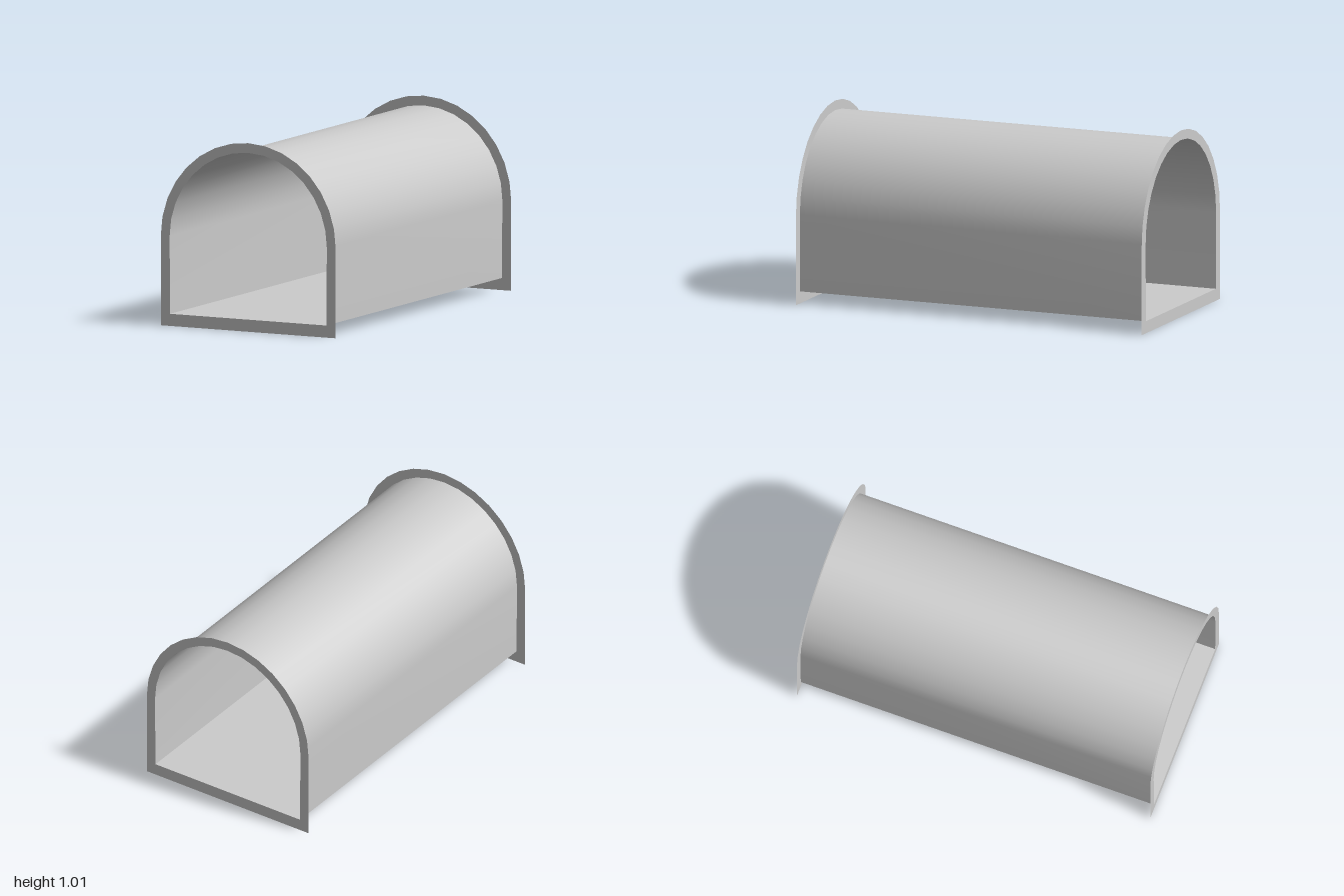
import * as THREE from 'three';

const SPRING = 0.48; // height where the vault starts to curve
const LENGTH = 2;
const SEGMENTS = 16;

// Arched outline from the bottom at -x, over the crown, to the bottom at +x
function archPoints(halfWidth, base, crown, footWidth = halfWidth) {
  const points = [new THREE.Vector2(-footWidth, base)];
  for (let i = 0; i <= SEGMENTS; i++) {
    const a = Math.PI * (1 - i / SEGMENTS);
    points.push(new THREE.Vector2(halfWidth * Math.cos(a), SPRING + (crown - SPRING) * Math.sin(a)));
  }
  points.push(new THREE.Vector2(footWidth, base));
  return points;
}

// Thin sheet that follows a profile along the whole length
function sheet(points) {
  const geometry = new THREE.PlaneGeometry(1, 1, points.length - 1, 1);
  const pos = geometry.attributes.position;
  for (let i = 0; i < pos.count; i++) {
    const p = points[i % points.length];
    const z = i < points.length ? -LENGTH / 2 : LENGTH / 2;
    pos.setXYZ(i, p.x, p.y, z);
  }
  geometry.computeVertexNormals();
  return geometry;
}

export function createModel() {
  const group = new THREE.Group();
  group.name = 'archedTunnel';
  const material = new THREE.MeshStandardMaterial({ color: 0xcccccc, side: THREE.DoubleSide });

  const add = (name, geometry) => {
    const mesh = new THREE.Mesh(geometry, material);
    mesh.name = name;
    group.add(mesh);
    return mesh;
  };

  const inner = archPoints(0.472, 0.065, 0.96, 0.469);
  const outer = archPoints(0.525, 0, 1.012);

  // Side walls and vault in one smooth sheet
  add('vault', sheet(inner));

  // Flat floor, meeting the walls at a sharp corner
  add('floor', sheet([inner[inner.length - 1], inner[0]]));

  // Flat, paper-thin rims around both openings
  const rim = new THREE.Shape(outer);
  rim.holes.push(new THREE.Path(inner));
  const rimGeometry = new THREE.ShapeGeometry(rim);
  add('frontRim', rimGeometry).position.z = LENGTH / 2;
  const backRim = add('backRim', rimGeometry);
  backRim.position.z = -LENGTH / 2;
  backRim.rotation.y = Math.PI;

  return group;
}
